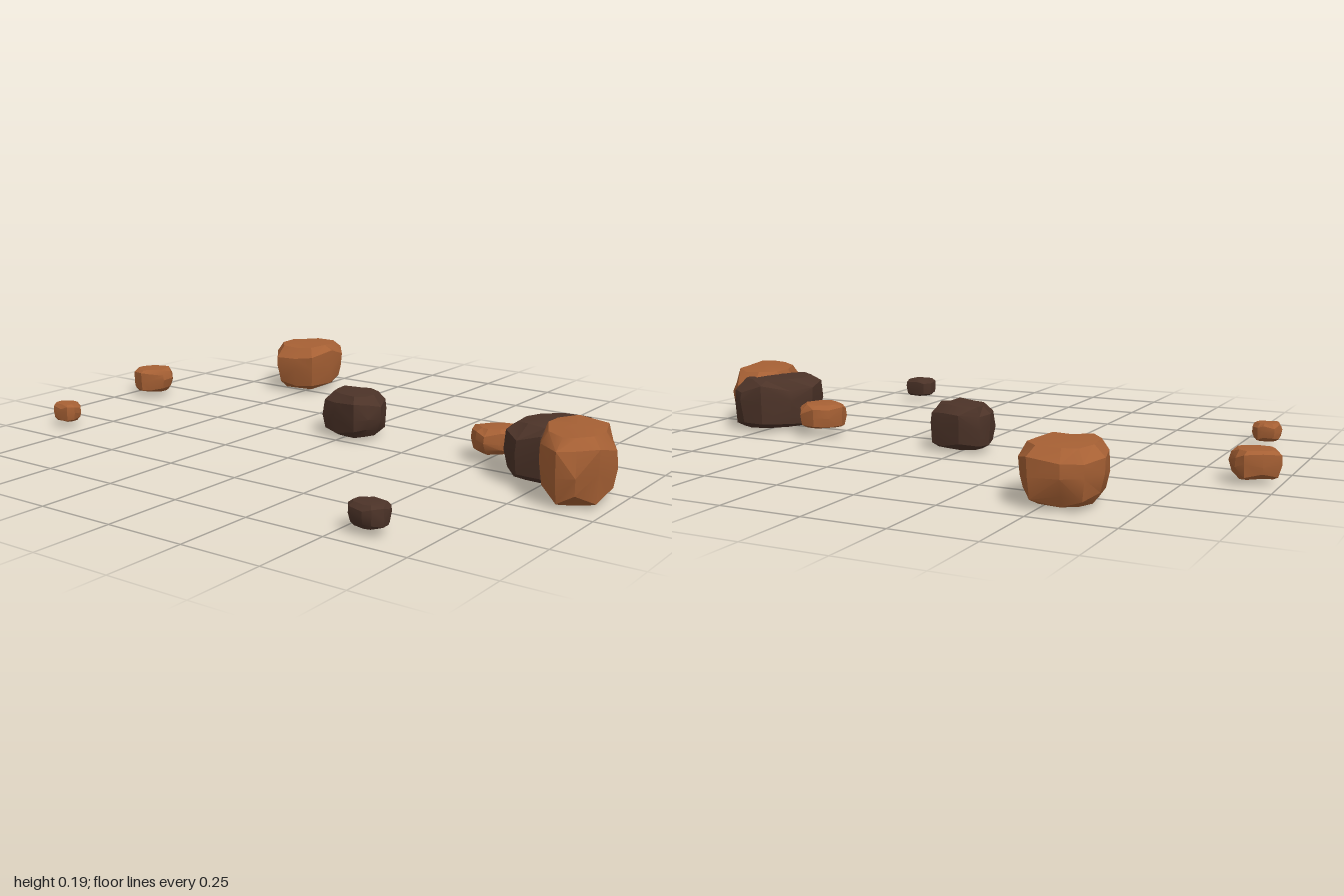
import * as THREE from 'three';
import { toCreasedNormals } from 'three/addons/utils/BufferGeometryUtils.js';

// Small seeded generator; each call gives a value from -0.5 to 0.5
function seeded(seed) {
  let s = seed * 791900 + 17;
  return () => {
    s = (s * 16807) % 2147483647;
    return s / 2147483647 - 0.5;
  };
}

// Corners around a stone, and its rings as [height, spread] from foot to crown
const SIDES = 10;
const RINGS = [[0, 0.7], [0.14, 0.91], [0.5, 1], [0.8, 0.97], [0.97, 0.74]];

// A chipped stone of the given size, lofted from rounded-square rings and standing on y = 0
function rockGeometry(width, height, depth, seed) {
  const rand = seeded(seed);
  const pos = [], index = [];

  // One irregular plan outline shared by all rings
  const plan = Array.from({ length: SIDES }, (_, i) => {
    const a = ((i + 0.5 + rand() * 0.5) / SIDES) * Math.PI * 2;
    const c = Math.cos(a), s = Math.sin(a);
    const r = (Math.abs(c) ** 3.5 + Math.abs(s) ** 3.5) ** (-1 / 3.5) * (1 + rand() * 0.1);
    return [c * r, s * r];
  });
  const reachX = Math.max(...plan.map((p) => Math.abs(p[0])));
  const reachZ = Math.max(...plan.map((p) => Math.abs(p[1])));

  for (const [level, spread] of RINGS) {
    const atEnd = spread < 0.8;
    for (const [x, z] of plan) {
      const k = (spread + rand() * (atEnd ? 0.16 : 0.08)) / 2;
      const y = THREE.MathUtils.clamp(level + rand() * (atEnd ? 0.05 : 0.17), 0, 1);
      pos.push((x / reachX) * k * width, y * height, (z / reachZ) * k * depth);
    }
  }

  // Side facets, split along either diagonal
  for (let r = 0; r < RINGS.length - 1; r++) {
    for (let i = 0; i < SIDES; i++) {
      const a = r * SIDES + i, b = r * SIDES + ((i + 1) % SIDES);
      const c = a + SIDES, d = b + SIDES;
      if (rand() > 0) index.push(b, a, c, b, c, d);
      else index.push(b, a, d, a, c, d);
    }
  }

  // Foot and crown caps
  const foot = pos.length / 3, top = foot - SIDES;
  pos.push(0, 0, 0, 0, height, 0);
  for (let i = 0; i < SIDES; i++) {
    const j = (i + 1) % SIDES;
    index.push(foot, i, j, foot + 1, top + j, top + i);
  }

  const geo = new THREE.BufferGeometry();
  geo.setAttribute('position', new THREE.Float32BufferAttribute(pos, 3));
  geo.setIndex(index);
  return toCreasedNormals(geo, 0.4);
}

export function createModel() {
  const rust = new THREE.MeshStandardMaterial({ color: 0xa66034 });
  rust.name = 'rustStone';
  const dark = new THREE.MeshStandardMaterial({ color: 0x4c3328 });
  dark.name = 'darkStone';

  const group = new THREE.Group();
  group.name = 'scatteredRocks';

  // Size is width, height, depth; place is the middle of the foot; turn is about y
  function addRock(name, material, size, place, turn) {
    const mesh = new THREE.Mesh(rockGeometry(...size, group.children.length + 1), material);
    mesh.name = name;
    mesh.position.set(...place);
    mesh.rotation.y = turn;
    group.add(mesh);
  }

  addRock('backBoulder', rust, [0.23, 0.16, 0.26], [-0.535, 0.01, -0.57], 0.2);
  addRock('sidePebble', rust, [0.14, 0.085, 0.11], [-0.925, 0.015, -0.13], 0.6);
  addRock('frontPebble', rust, [0.09, 0.06, 0.08], [-0.834, 0.02, 0.373], 0.05);
  addRock('middleRock', dark, [0.215, 0.14, 0.175], [0.012, 0.01, -0.09], -0.25);
  addRock('smallRock', rust, [0.155, 0.08, 0.13], [0.528, 0.03, -0.1], 0.8);
  addRock('darkBoulder', dark, [0.31, 0.17, 0.215], [0.747, 0.01, -0.035], 0.98);
  addRock('rustBoulder', rust, [0.215, 0.195, 0.35], [0.855, 0, 0.05], 0.46);
  addRock('darkPebble', dark, [0.11, 0.065, 0.09], [0.576, 0.02, 0.655], 0);
  return group;
}
